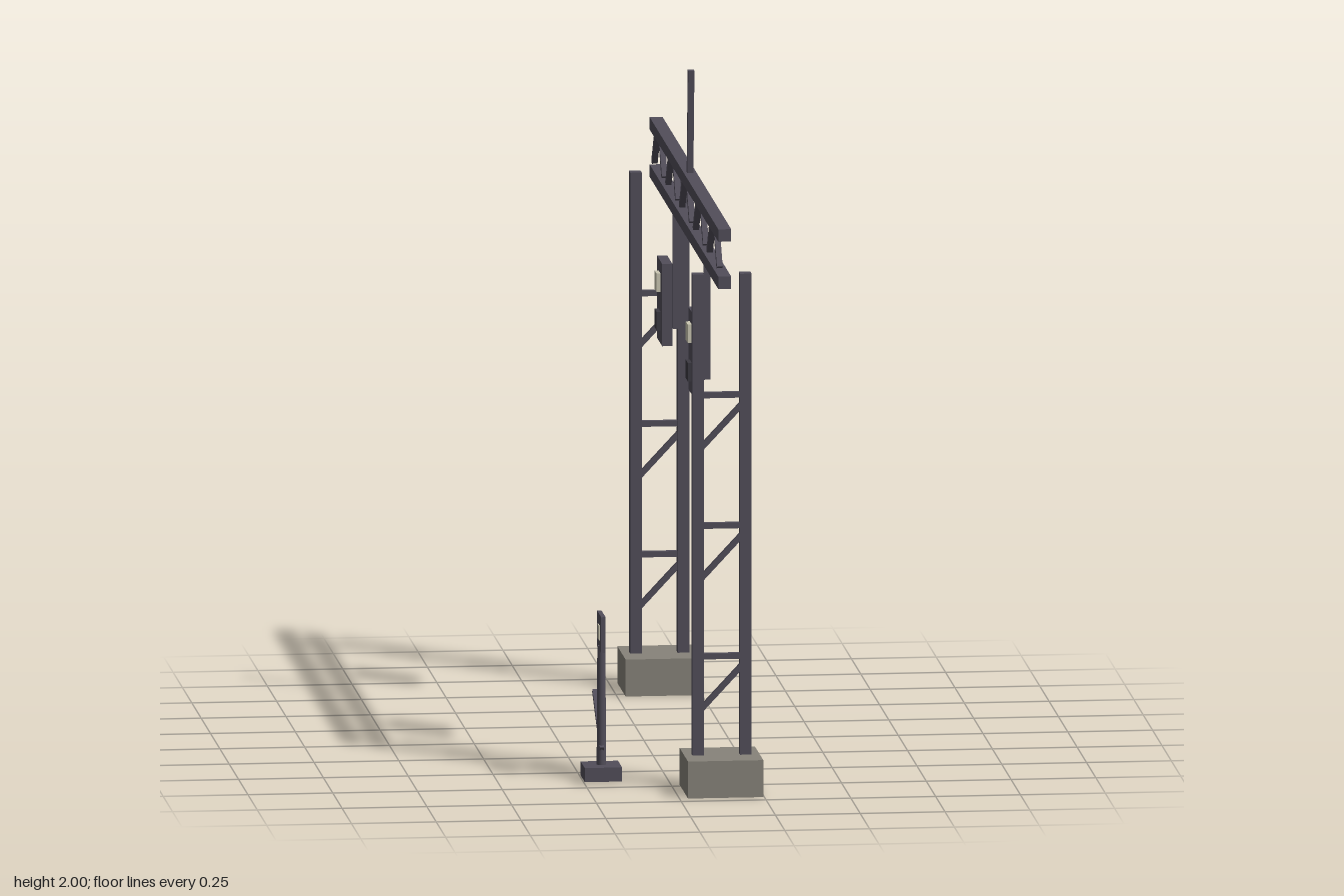
import * as THREE from 'three';

export function createModel() {
  const model = new THREE.Group();
  model.name = 'signalGantry';

  const mat = (name, color) => {
    const m = new THREE.MeshStandardMaterial({ color });
    m.name = name;
    return m;
  };
  const steel = mat('steel', 0x524e5a);
  const concrete = mat('concrete', 0x87837a);
  const cream = mat('cream', 0xcbc7b2);
  const dark = mat('darkSteel', 0x3b3941);

  const group = (name, parent = model) => {
    const g = new THREE.Group();
    g.name = name;
    parent.add(g);
    return g;
  };
  const box = (parent, name, m, size, pos) => {
    const mesh = new THREE.Mesh(new THREE.BoxGeometry(...size), m);
    mesh.name = name;
    mesh.position.set(...pos);
    parent.add(mesh);
    return mesh;
  };
  // Square bar running between two points
  const bar = (parent, name, m, a, b, t) => {
    const from = new THREE.Vector3(...a), to = new THREE.Vector3(...b);
    const dir = to.clone().sub(from);
    const mesh = box(parent, name, m, [t, dir.length(), t], from.clone().add(to).multiplyScalar(0.5).toArray());
    mesh.quaternion.setFromUnitVectors(new THREE.Vector3(0, 1, 0), dir.normalize());
    return mesh;
  };

  const cx = 0.136;

  // Two lattice towers on concrete footings
  for (const z of [0.843, -0.823]) {
    const tower = group('tower');
    box(tower, 'footing', concrete, [0.222, 0.11, 0.222], [cx, 0.055, z]);
    for (const side of [-1, 1]) {
      box(tower, 'column', steel, [0.034, 1.44, 0.034], [cx + side * 0.07, 0.823, z]);
    }
    for (const y of [0.403, 0.792, 1.181]) {
      box(tower, 'rung', steel, [0.14, 0.017, 0.017], [cx, y, z]);
      bar(tower, 'brace', steel, [cx - 0.07, y - 0.168, z], [cx + 0.07, y - 0.018, z], 0.016);
    }
  }

  // Overhead truss: two chords with zigzag bracing
  const truss = group('truss');
  for (const y of [1.53, 1.671]) {
    box(truss, 'chord', steel, [0.038, 0.037, 1.835], [cx, y, 0.012]);
  }
  for (let i = 0; i < 10; i++) {
    const z = 0.75 - i * 0.1838, s = i % 2 ? -1 : 1;
    bar(truss, 'web', steel, [cx, 1.549, z + s * 0.043], [cx, 1.657, z - s * 0.043], 0.017);
  }

  // Leaning mast on top of the truss
  bar(model, 'mast', steel, [cx, 1.67, 0], [cx, 1.999, 0.03], 0.018);

  // Hanging signal heads, lamps facing -x
  for (const z of [0.458, -0.374]) {
    const signal = group('hangingSignal');
    box(signal, 'hanger', steel, [0.019, 0.37, 0.019], [cx, 1.342, z]);
    box(signal, 'panel', steel, [0.03, 0.245, 0.136], [0.103, 1.239, z]);
    box(signal, 'litLamp', cream, [0.014, 0.055, 0.055], [0.083, 1.298, z]);
    box(signal, 'unlitLamp', dark, [0.014, 0.055, 0.055], [0.083, 1.184, z]);
  }

  // Small ground signal with a sloping arm
  const px = -0.197, pz = 0.651;
  const marker = group('groundSignal');
  box(marker, 'base', steel, [0.11, 0.042, 0.11], [px, 0.03, pz]);
  const post = new THREE.Mesh(new THREE.CylinderGeometry(0.012, 0.014, 0.36, 8), steel);
  post.material.flatShading = false;
  post.name = 'post';
  post.position.set(px, 0.225, pz);
  marker.add(post);
  box(marker, 'signPlate', steel, [0.013, 0.107, 0.11], [px, 0.446, pz]);
  box(marker, 'signFace', cream, [0.019, 0.043, 0.043], [px, 0.446, pz]);
  bar(marker, 'arm', steel, [px, 0.1, 0.666], [px, 0.238, 0.467], 0.013);

  return model;
}
